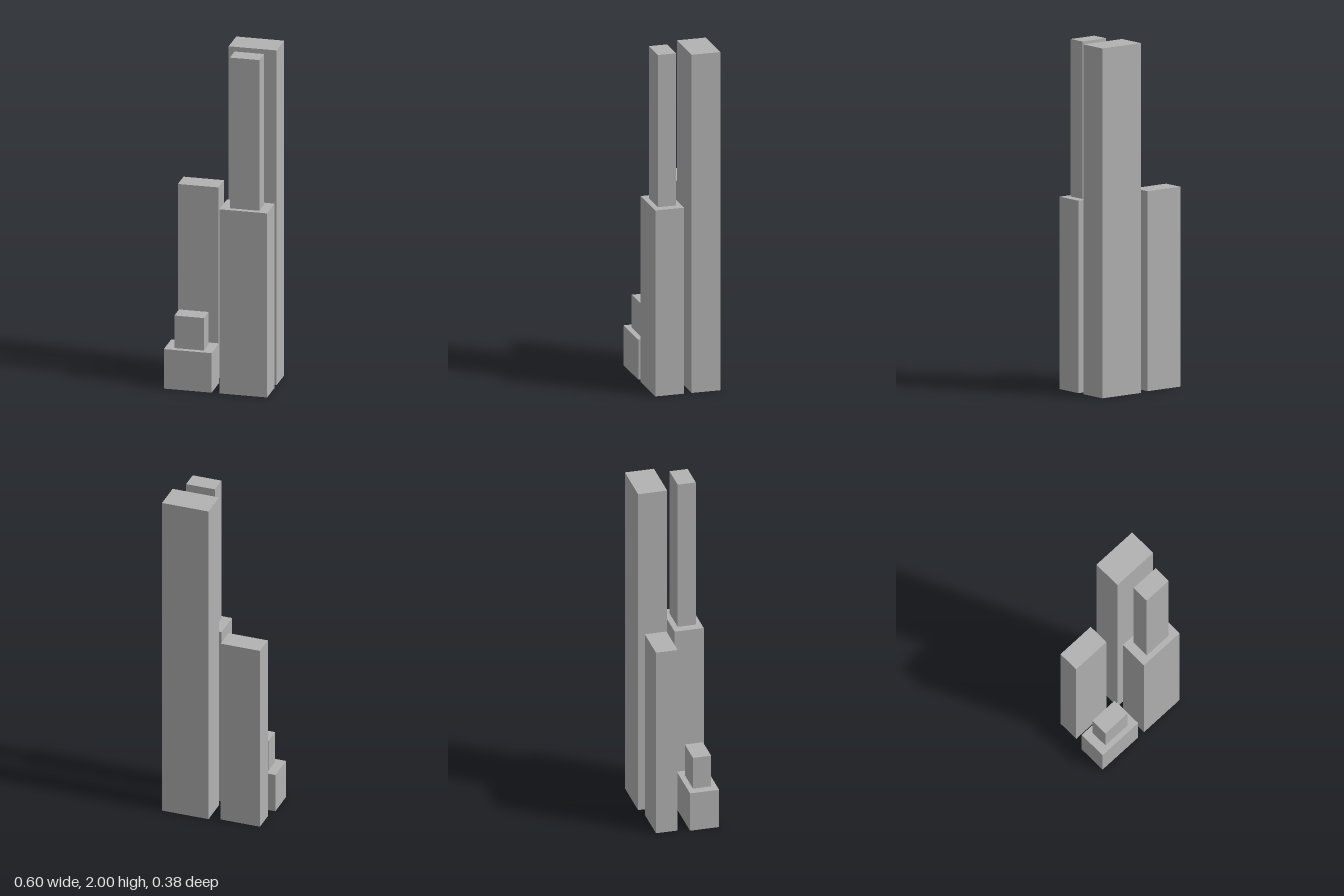
import * as THREE from 'three';

export function createModel() {
  const model = new THREE.Group();
  model.name = 'towerCluster';
  const concrete = new THREE.MeshStandardMaterial({ color: 0xb2b2b2 });
  concrete.name = 'concreteGrey';

  // Adds one block from its x, y and z ranges
  function block(parent, name, [x0, x1], [y0, y1], [z0, z1]) {
    const mesh = new THREE.Mesh(new THREE.BoxGeometry(x1 - x0, y1 - y0, z1 - z0), concrete);
    mesh.name = name;
    mesh.position.set((x0 + x1) / 2, (y0 + y1) / 2, (z0 + z1) / 2);
    parent.add(mesh);
  }

  // Two plain slabs at the back
  block(model, 'backTallTower', [0.021, 0.3], [0, 2], [-0.193, -0.023]);
  block(model, 'backMidTower', [-0.28, -0.044], [0, 1.143], [-0.172, -0.045]);

  // Two stepped buildings at the front: wide base with a narrower upper block
  function steppedBuilding(name, centreX, baseTop, top) {
    const building = new THREE.Group();
    building.name = name;
    block(building, 'base', [centreX - 0.139, centreX + 0.139], [0, baseTop], [0.021, 0.191]);
    block(building, 'upperBlock', [centreX - 0.086, centreX + 0.086], [baseTop, top], [0.053, 0.159]);
    model.add(building);
  }
  steppedBuilding('frontSteppedTower', 0.161, 1.1, 2);
  steppedBuilding('frontLowBuilding', -0.162, 0.236, 0.43);

  return model;
}
